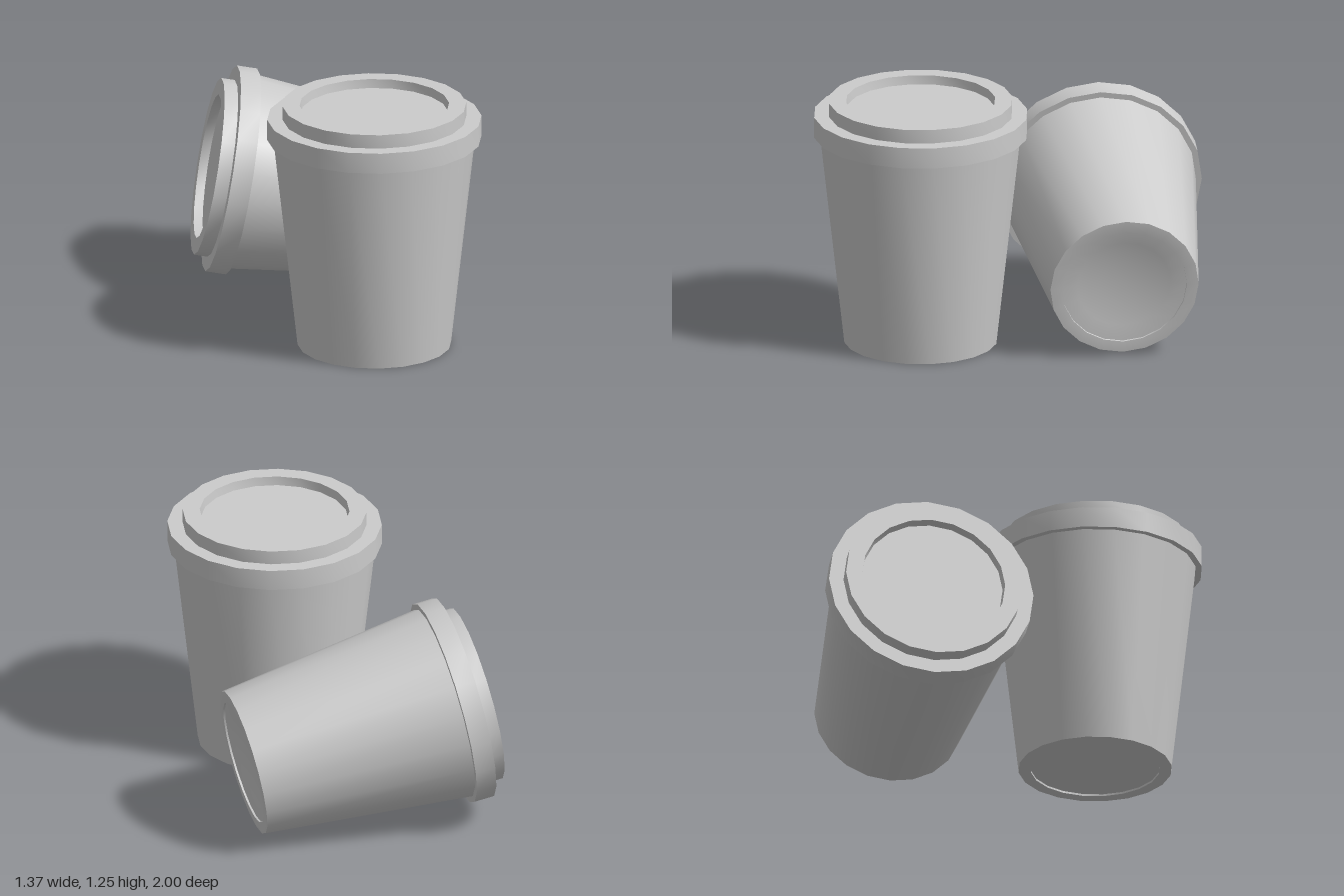
import * as THREE from 'three';
import { toCreasedNormals } from 'three/addons/utils/BufferGeometryUtils.js';

const SIDES = 20;
const material = new THREE.MeshStandardMaterial({ color: 0xcccccc, side: THREE.DoubleSide });

// Revolve a [radius, height] profile, rounded around and sharp at the rims.
function turned(name, profile) {
  const points = profile.map(([r, y]) => new THREE.Vector2(r, y));
  const geometry = toCreasedNormals(new THREE.LatheGeometry(points, SIDES), THREE.MathUtils.degToRad(35));
  const mesh = new THREE.Mesh(geometry, material);
  mesh.name = name;
  return mesh;
}

function createCup(name) {
  const cup = new THREE.Group();
  cup.name = name;
  // Tapered wall standing on a foot ring around a slightly hollow base
  cup.add(turned('cupBody', [
    [0, 0.045], [0.12, 0.04], [0.24, 0.027], [0.32, 0.01],
    [0.32, 0], [0.38, 0], [0.5, 1.08],
  ]));
  // Lid with overhanging rim, raised ring and recessed top
  cup.add(turned('lid', [
    [0.49, 1.075], [0.53, 1.075], [0.53, 1.18], [0.455, 1.18],
    [0.455, 1.25], [0.37, 1.25], [0.365, 1.205], [0, 1.205],
  ]));
  return cup;
}

export function createModel() {
  const model = new THREE.Group();
  model.name = 'cups';

  const standing = createCup('standingCup');
  standing.position.set(0.155, 0, 0.47);
  model.add(standing);

  // Second cup lies on its side, lid towards the right and tipped up
  const lying = createCup('lyingCup');
  lying.scale.setScalar(0.97);
  lying.rotation.z = THREE.MathUtils.degToRad(79.6);
  lying.position.set(0.585, 0.38, -0.49);
  model.add(lying);

  return model;
}
